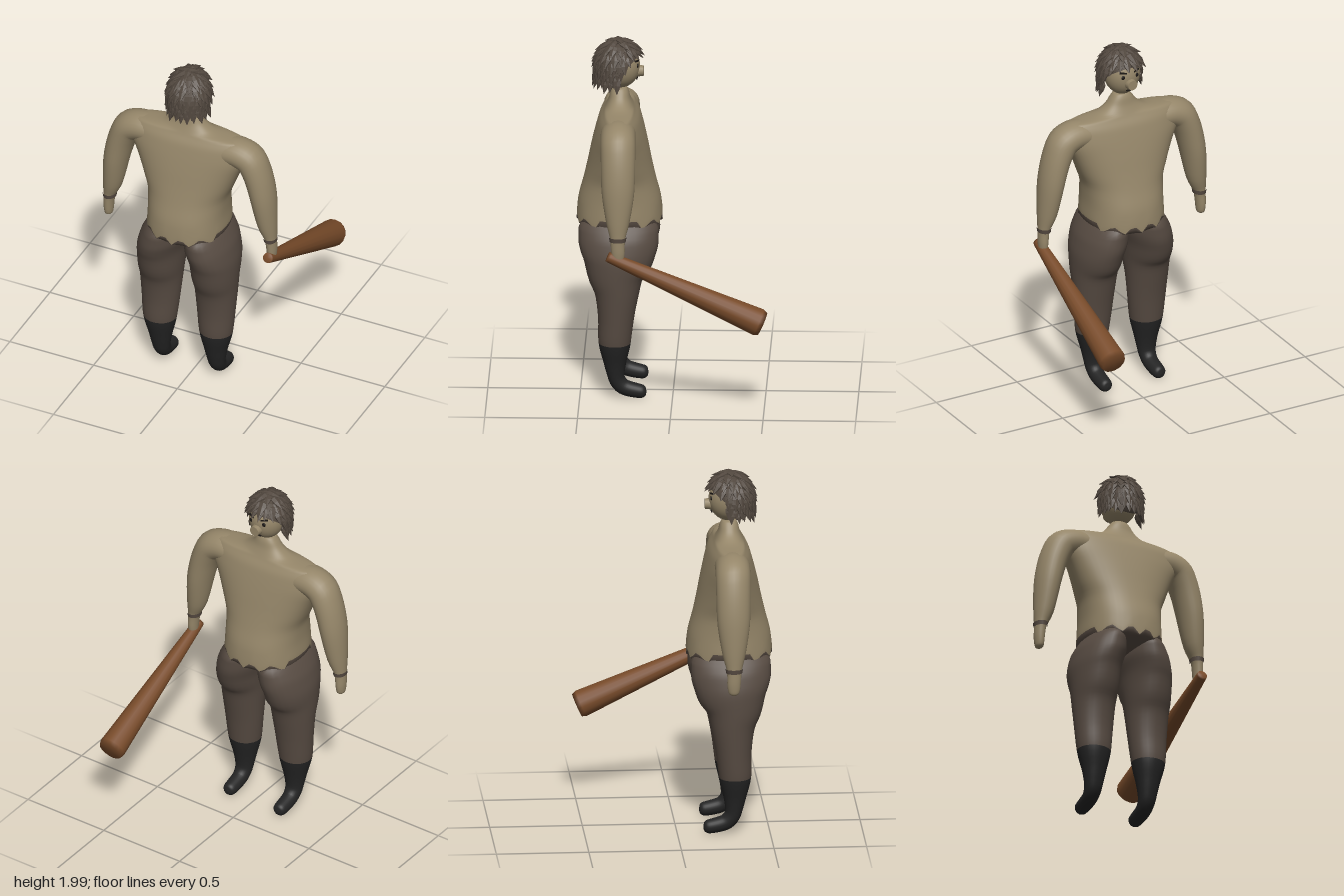
import * as THREE from 'three';
import { mergeGeometries } from 'three/addons/utils/BufferGeometryUtils.js';

const CX = -0.025, CZ = 0.29; // body axis
const mat = (name, color, extra = {}) => Object.assign(new THREE.MeshStandardMaterial({ color, ...extra }), { name });

// Smooth interpolation through rows of numbers, without overshoot
function resample(rows, steps) {
  const last = rows.length - 1, out = [];
  const slope = (i, k) => {
    if (i === 0 || i === last) return 0;
    const a = rows[i][k] - rows[i - 1][k], b = rows[i + 1][k] - rows[i][k];
    return a * b > 0 ? (2 * a * b) / (a + b) : 0;
  };
  for (let n = 0; n <= last * steps; n++) {
    const i = Math.min(Math.floor(n / steps), last - 1), t = n / steps - i;
    out.push(rows[i].map((p, k) => {
      const q = rows[i + 1][k], t2 = t * t, t3 = t2 * t;
      return p * (2 * t3 - 3 * t2 + 1) + slope(i, k) * (t3 - 2 * t2 + t)
        + q * (3 * t2 - 2 * t3) + slope(i + 1, k) * (t3 - t2);
    }));
  }
  return out;
}

// Skin over rows of [x, y, z, radius along axis, radius across]; split = row where the colour changes
function loft(rows, axis, { steps = 4, seg = 28, power = 1, split = 0, warp } = {}) {
  const rings = resample(rows, steps), pos = [], index = [];
  const centre = rings.map((r) => new THREE.Vector3(r[0], r[1], r[2]));
  rings.forEach((r, i) => {
    const dir = centre[Math.min(i + 1, rings.length - 1)].clone().sub(centre[Math.max(i - 1, 0)]).normalize();
    const across = dir.cross(axis).normalize();
    for (let j = 0; j < seg; j++) {
      const a = (j / seg) * Math.PI * 2, c = Math.cos(a), s = Math.sin(a);
      const p = centre[i].clone()
        .addScaledVector(axis, Math.sign(c) * Math.abs(c) ** power * r[3])
        .addScaledVector(across, Math.sign(s) * Math.abs(s) ** power * r[4]);
      if (warp) warp(p);
      pos.push(p.x, p.y, p.z);
      if (i === rings.length - 1) continue;
      const k = (j + 1) % seg, A = i * seg + j, B = i * seg + k;
      index.push(A, B, B + seg, A, B + seg, A + seg);
    }
  });
  const g = new THREE.BufferGeometry();
  g.setAttribute('position', new THREE.Float32BufferAttribute(pos, 3));
  g.setIndex(index);
  g.computeVertexNormals();
  if (split) {
    const cut = split * steps * seg * 6;
    g.addGroup(0, cut, 0);
    g.addGroup(cut, index.length - cut, 1);
  }
  return g;
}

export function createModel() {
  const model = new THREE.Group();
  const X = new THREE.Vector3(1, 0, 0), Z = new THREE.Vector3(0, 0, 1);
  const skin = mat('skin', 0x958669), trousers = mat('trousers', 0x574b42);
  const boots = mat('boots', 0x242424), wood = mat('wood', 0x784b2a);
  const hair = mat('hair', 0x51473e, { side: THREE.DoubleSide }), dark = mat('dark', 0x1c1815);
  const add = (name, geo, material, parent = model) => {
    const m = new THREE.Mesh(geo, material);
    m.name = name;
    parent.add(m);
    return m;
  };

  // Torso, from crotch to neck, with a ragged waistline
  const torso = [
    [0.9, 0, 0], [0.93, 0.13, 0.13], [0.97, 0.205, 0.215], [1.02, 0.222, 0.232], [1.1, 0.219, 0.222],
    [1.2, 0.225, 0.196], [1.3, 0.26, 0.173], [1.4, 0.3, 0.152], [1.5, 0.345, 0.127], [1.56, 0.35, 0.108],
    [1.6, 0.33, 0.085], [1.62, 0.16, 0.075], [1.66, 0.09, 0.058], [1.7, 0.06, 0.048], [1.72, 0.04, 0.035], [1.725, 0, 0],
  ].map(([y, rx, rz]) => [CX, y, CZ, rx, rz]);
  const waist = (p) => {
    const x = Math.abs(p.x - CX);
    if (x > 0.2 || p.y < 0.96) return;
    const wave = Math.abs(((x / 0.1 + 0.5) % 1) - 0.5) * 2; // 0 at teeth, 1 between
    p.y -= 0.05 * (1 - wave) * Math.max(0, 1 - Math.abs(p.y - 1.02) / 0.06);
  };
  add('torso', loft(torso, X, { seg: 48, power: 0.88, split: 3, warp: waist }), [trousers, skin]);

  for (const [side, s] of [['left', 1], ['right', -1]]) {
    const place = ([x, y, z, a, b]) => [CX + s * x, y, z, a, b];

    // Leg and boot in one sweep, toes towards -z
    const leg = [
      [0.1, 1.03, 0.292, 0.08, 0.16], [0.118, 0.96, 0.292, 0.115, 0.215], [0.135, 0.89, 0.292, 0.132, 0.216],
      [0.155, 0.8, 0.295, 0.131, 0.195], [0.16, 0.7, 0.305, 0.126, 0.155], [0.163, 0.6, 0.3, 0.118, 0.12],
      [0.165, 0.45, 0.305, 0.106, 0.096], [0.167, 0.32, 0.312, 0.093, 0.087], [0.165, 0.2, 0.31, 0.065, 0.06],
      [0.165, 0.12, 0.302, 0.05, 0.045], [0.165, 0.068, 0.265, 0.043, 0.043], [0.165, 0.05, 0.21, 0.041, 0.041],
      [0.165, 0.042, 0.165, 0.037, 0.037], [0.165, 0.04, 0.145, 0.022, 0.022], [0.165, 0.04, 0.14, 0, 0],
    ].map(place);
    add(side + 'Leg', loft(leg, X, { split: 7 }), [trousers, boots]);

    // Arm and hand
    const arm = [
      [0.15, 1.525, 0.29, 0.09, 0.07], [0.27, 1.532, 0.29, 0.094, 0.08], [0.35, 1.51, 0.288, 0.094, 0.083],
      [0.398, 1.43, 0.286, 0.093, 0.077], [0.435, 1.29, 0.285, 0.09, 0.07], [0.462, 1.1, 0.285, 0.063, 0.053],
      [0.483, 1.0, 0.285, 0.039, 0.031], [0.487, 0.93, 0.283, 0.036, 0.027], [0.487, 0.885, 0.283, 0.027, 0.021],
      [0.487, 0.87, 0.283, 0, 0],
    ].map(place);
    add(side + 'Arm', loft(arm, Z), skin);
    const cuff = add(side + 'Cuff', new THREE.CylinderGeometry(0.038, 0.035, 0.024, 20, 1, true).scale(1, 1, 1.25), trousers);
    cuff.position.set(CX + s * 0.48, 1.011, 0.285);

    // Eye and brow
    const eye = add(side + 'Eye', new THREE.SphereGeometry(0.013, 10, 8).scale(1, 1, 0.4), dark);
    eye.position.set(CX + s * 0.04, 1.852, 0.192);
    const brow = add(side + 'Brow', new THREE.BoxGeometry(0.04, 0.009, 0.009), dark);
    brow.position.set(CX + s * 0.04, 1.878, 0.197);
    brow.rotation.set(0, s * -0.35, s * 0.15);
  }

  // Head, nose and mouth
  const head = add('head', new THREE.SphereGeometry(1, 28, 20).scale(0.098, 0.122, 0.105), skin);
  head.position.set(CX, 1.84, 0.285);
  const nose = add('nose', new THREE.CylinderGeometry(0.028, 0.034, 0.045, 14).rotateX(-Math.PI / 2), skin);
  nose.position.set(CX, 1.81, 0.183);
  const mouth = add('mouth', new THREE.BoxGeometry(0.04, 0.006, 0.008), dark);
  mouth.position.set(CX, 1.768, 0.197);

  // Hair: a scalp cap covered in overlapping pointed locks
  const hairGroup = new THREE.Group();
  hairGroup.name = 'hair';
  hairGroup.position.set(CX, 1.84, 0.297);
  model.add(hairGroup);
  add('scalp', new THREE.SphereGeometry(1, 24, 12, 0, Math.PI * 2, 0, 1.7).rotateX(0.6).scale(0.108, 0.138, 0.121), hair, hairGroup);
  const profile = [[0, -0.055], [0.02, -0.012], [0.021, 0.012], [0, 0.035]].map(([x, y]) => new THREE.Vector2(x, y));
  const lock = new THREE.LatheGeometry(profile, 6).scale(1, 1, 0.55).toNonIndexed();
  let seed = 7;
  const rand = () => (seed = (seed * 16807) % 2147483647) / 2147483647;
  const locks = [];
  for (let row = 0; row < 11; row++) {
    const phi = Math.min(0.12 + row * 0.2, 1.5), drop = Math.max(0, row - 7) * 0.025;
    const count = Math.max(4, Math.round(Math.sin(phi) * 22));
    for (let i = 0; i < count; i++) {
      const a = ((i + (row % 2) / 2 + (rand() - 0.5) * 0.4) / count) * Math.PI * 2;
      const r = Math.sin(phi), dx = Math.cos(a), dz = Math.sin(a);
      const p = new THREE.Vector3(dx * r * 0.112, Math.cos(phi) * 0.143 - drop + (rand() - 0.5) * 0.012, dz * r * 0.125);
      const limit = -0.085 + 0.155 * THREE.MathUtils.smoothstep(-dz, -0.15, 0.65);
      if (p.y < limit) continue;
      const out = new THREE.Vector3(dx * r, Math.cos(phi) + 0.25, dz * r).normalize();
      const up = new THREE.Vector3(-dx * Math.cos(phi), r, -dz * Math.cos(phi));
      const across = up.clone().cross(out).normalize();
      const size = 0.85 + rand() * 0.35;
      const m = new THREE.Matrix4().makeBasis(across, out.clone().cross(across), out);
      m.scale(new THREE.Vector3(size, size, size)).setPosition(p);
      locks.push(lock.clone().applyMatrix4(m));
    }
  }
  const lockGeo = mergeGeometries(locks);
  lockGeo.computeVertexNormals();
  add('locks', lockGeo, hair, hairGroup);

  // Wooden bat held in the left hand
  const grip = new THREE.Vector3(0.462, 0.915, 0.339), tip = new THREE.Vector3(0.462, 0.542, -0.495);
  const length = grip.distanceTo(tip);
  const batProfile = [[0, 0], [0.027, 0], [0.029, 0.012], [0.075, length - 0.025], [0.066, length], [0, length]];
  const bat = add('bat', new THREE.LatheGeometry(batProfile.map(([x, y]) => new THREE.Vector2(x, y)), 16), wood);
  bat.position.copy(grip);
  bat.quaternion.setFromUnitVectors(new THREE.Vector3(0, 1, 0), tip.sub(grip).normalize());

  return model;
}
